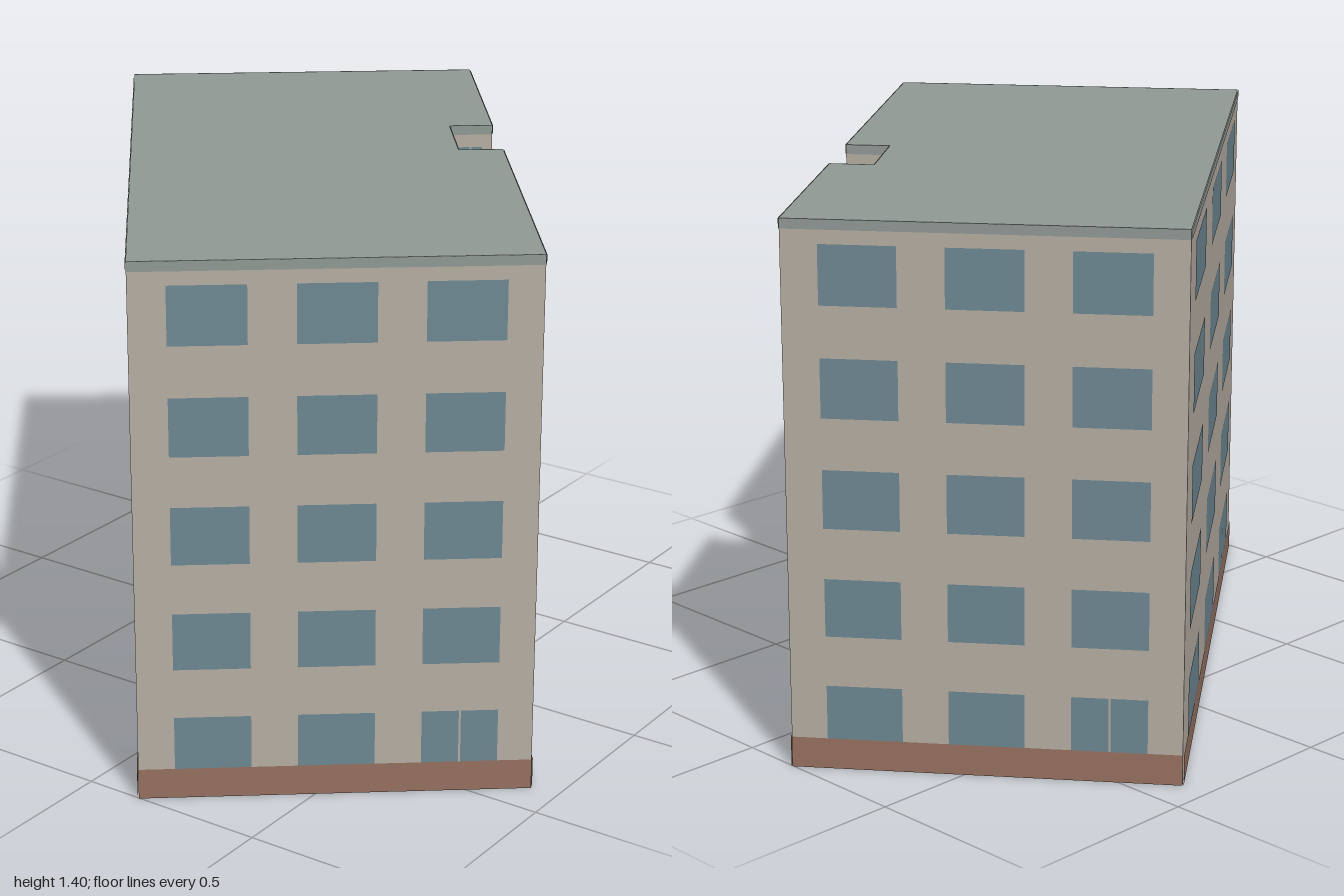
import * as THREE from 'three';

const HEIGHT = 1.4, PLINTH = 0.08, FLOORS = 5, FLOOR_STEP = 0.28;
const material = (color) => new THREE.MeshStandardMaterial({ color, side: THREE.DoubleSide });

// Footprint corners [x, z], each with the windows of the wall that starts there:
// centres and width as fractions of the wall, split(floor, i) tells which have two panes
const always = () => true;
const lastGround = (floor, i) => floor === 0 && i === 2;
const WALLS = [
  { name: 'longWall', at: [-0.924, -0.4], centres: [0.18, 0.5, 0.82], width: 0.198, split: lastGround },
  { name: 'frontEndWall', at: [0.152, 1], centres: [0.19, 0.502, 0.814], width: 0.194, split: lastGround },
  { name: 'backWallWide', at: [0.924, 0.396], centres: [0.267, 0.737], width: 0.288, split: (f) => f < 3 },
  { name: 'recessSideA', at: [0.368, -0.323], centres: [0.5], width: 0.54, split: always },
  { name: 'recessBack', at: [0.275, -0.251], centres: [0.5], width: 0.52, split: always },
  { name: 'recessSideB', at: [0.127, -0.44], centres: [0.5], width: 0.54, split: always },
  { name: 'backWallNarrow', at: [0.22, -0.51], centres: [0.505], width: 0.557, split: always },
  { name: 'rearEndWall', at: [-0.158, -1], centres: [0.19, 0.502, 0.814], width: 0.194, split: lastGround },
];

// Upright panel in a wall's own frame: u along the wall, y up, z outward
function panel(name, mat, u0, u1, y0, y1, out) {
  const mesh = new THREE.Mesh(new THREE.PlaneGeometry(u1 - u0, y1 - y0), mat);
  mesh.position.set((u0 + u1) / 2, (y0 + y1) / 2, out);
  mesh.name = name;
  return mesh;
}

export function createModel() {
  const building = new THREE.Group();
  building.name = 'apartmentBlock';
  const wallMat = material(0xb8b0a4), glassMat = material(0x6f8a94);
  const plinthMat = material(0x987262), roofMat = material(0x929b97);

  WALLS.forEach((wall, k) => {
    const [x0, z0] = wall.at;
    const [x1, z1] = WALLS[(k + 1) % WALLS.length].at;
    const length = Math.hypot(x1 - x0, z1 - z0);
    const side = new THREE.Group();
    side.name = wall.name;
    side.position.set(x0, 0, z0);
    side.rotation.y = Math.atan2(z0 - z1, x1 - x0);

    // Wall sheet, plinth band and roof edge
    side.add(panel('wall', wallMat, 0, length, 0, HEIGHT, 0));
    side.add(panel('plinth', plinthMat, 0, length, 0, PLINTH, 0.003));
    side.add(panel('roofEdge', roofMat, 0, length, HEIGHT - 0.025, HEIGHT, 0.002));

    // Windows, one row per floor
    for (let floor = 0; floor < FLOORS; floor++) {
      const top = 0.22 + floor * FLOOR_STEP, bottom = top - 0.15;
      wall.centres.forEach((c, i) => {
        const mid = c * length, half = (wall.width * length) / 2;
        if (wall.split(floor, i)) {
          const gap = 0.0025;
          side.add(panel('windowPane', glassMat, mid - half, mid - gap, bottom, top, 0.0015));
          side.add(panel('windowPane', glassMat, mid + gap, mid + half, bottom, top, 0.0015));
        } else {
          side.add(panel('window', glassMat, mid - half, mid + half, bottom, top, 0.0015));
        }
      });
    }
    building.add(side);
  });

  // Flat roof over the footprint; the underside of the building stays open
  const outline = new THREE.Shape(WALLS.map(({ at: [x, z] }) => new THREE.Vector2(x, -z)));
  const roof = new THREE.Mesh(new THREE.ShapeGeometry(outline).rotateX(-Math.PI / 2), roofMat);
  roof.position.y = HEIGHT;
  roof.name = 'roof';
  building.add(roof);
  return building;
}
